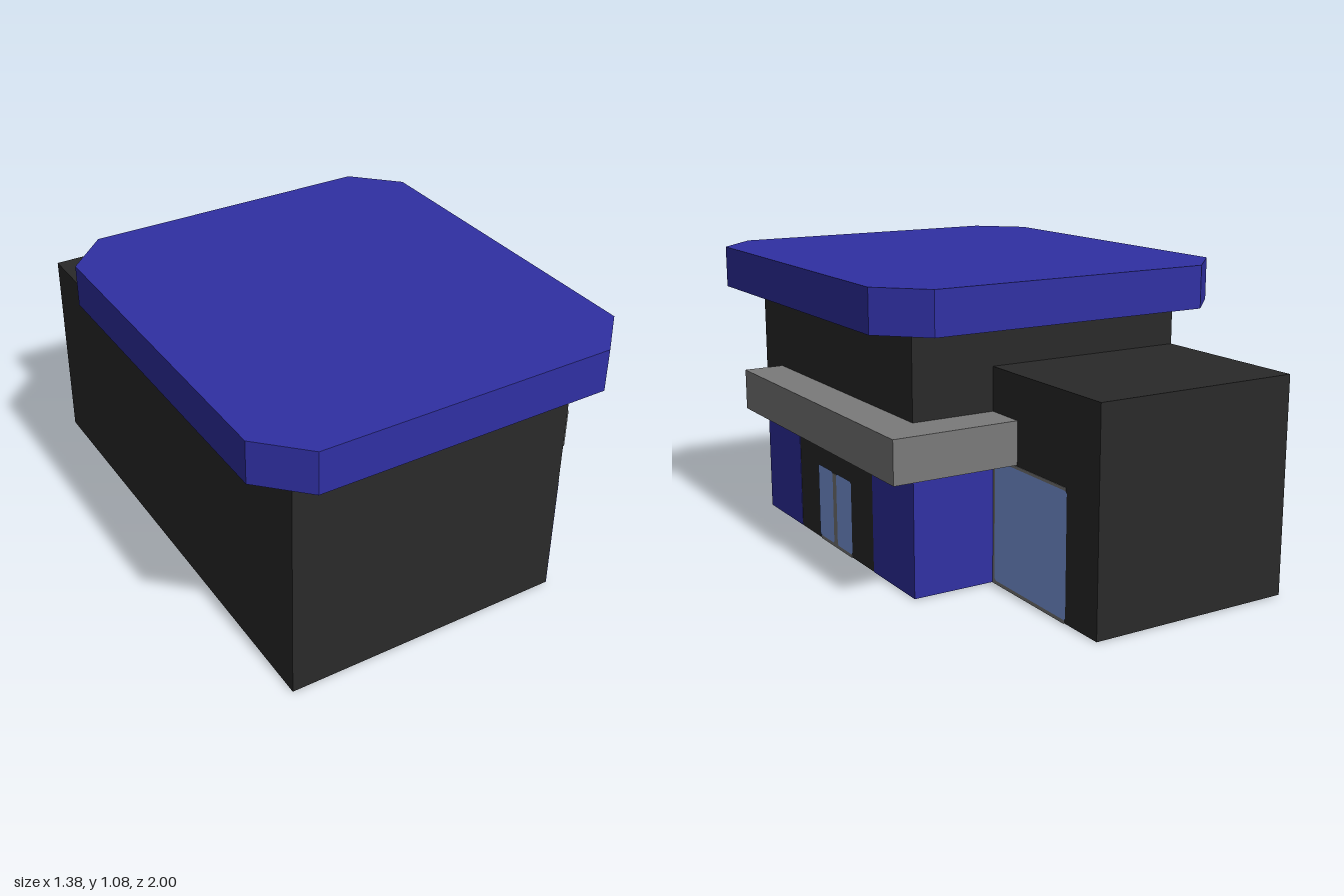
import * as THREE from 'three';

const material = (name, color) => {
  const m = new THREE.MeshStandardMaterial({ color });
  m.name = name;
  return m;
};

// Octagonal outline: a centred rectangle with cut corners
function cutCornerShape(width, height, cut) {
  const w = width / 2, h = height / 2;
  return new THREE.Shape([
    [-w + cut, -h], [w - cut, -h], [w, -h + cut], [w, h - cut],
    [w - cut, h], [-w + cut, h], [-w, h - cut], [-w, -h + cut],
  ].map(([x, y]) => new THREE.Vector2(x, y)));
}

export function createModel() {
  const model = new THREE.Group();
  model.name = 'shop';
  const charcoal = material('charcoal', 0x292929);
  charcoal.side = THREE.DoubleSide;
  const navy = material('navy', 0x3030a3);
  const grey = material('grey', 0x7a7a7a);
  const glass = material('glass blue', 0x7d9ce4);

  const add = (name, geometry, mat) => {
    const mesh = new THREE.Mesh(geometry, mat);
    mesh.name = name;
    model.add(mesh);
    return mesh;
  };
  // Upright sheet between two [x, z] points, facing right of the travel direction
  const wall = (name, [xa, za], [xb, zb], y0, y1) => {
    const length = Math.hypot(xb - xa, zb - za);
    const mesh = add(name, new THREE.PlaneGeometry(length, y1 - y0), charcoal);
    mesh.rotation.y = Math.atan2(za - zb, xb - xa);
    mesh.position.set((xa + xb) / 2, (y0 + y1) / 2, (za + zb) / 2);
  };
  // Box given by its limits on each axis
  const box = (name, mat, [x0, x1], [y0, y1], [z0, z1]) =>
    add(name, new THREE.BoxGeometry(x1 - x0, y1 - y0, z1 - z0), mat)
      .position.set((x0 + x1) / 2, (y0 + y1) / 2, (z0 + z1) / 2);
  // Flat glass facing +x with slightly clipped corners
  const pane = (name, x, [y0, y1], [z0, z1]) => {
    const mesh = add(name, new THREE.ShapeGeometry(cutCornerShape(z1 - z0, y1 - y0, 0.007)), glass);
    mesh.rotation.y = Math.PI / 2;
    mesh.position.set(x, (y0 + y1) / 2, (z0 + z1) / 2);
  };
  // Solid standing on y0, from an outline in x and -z
  const slab = (name, mat, shape, y0, depth, z = 0) => {
    const mesh = add(name, new THREE.ExtrudeGeometry(shape, { depth, bevelEnabled: false }), mat);
    mesh.rotation.x = -Math.PI / 2;
    mesh.position.set(0, y0, z);
  };

  const side = 0.538, annexSide = 0.228, front = 0.847, back = -0.383;
  const base = 0.002, eaves = 0.926, annexTop = 0.773, skin = 0.0015;

  // Hollow shell, open underneath: main hall and lower rear annex as one room
  wall('frontWall', [-side, front], [side, front], base, eaves);
  wall('hallLeftWall', [side, front], [side, back], base, eaves);
  wall('hallRearWall', [side, back], [annexSide, back], base, eaves);
  wall('hallUpperRearWall', [annexSide, back], [-side, back], annexTop, eaves);
  wall('hallRightWall', [-side, back], [-side, front], base, eaves);
  wall('annexLeftWall', [annexSide, back], [annexSide, -1], base, annexTop);
  wall('annexRearWall', [annexSide, -1], [-side, -1], base, annexTop);
  wall('annexRightWall', [-side, -1], [-side, back], base, annexTop);
  const annexRoof = add('annexRoof', new THREE.PlaneGeometry(annexSide + side, 1 + back), charcoal);
  annexRoof.rotation.x = -Math.PI / 2;
  annexRoof.position.set((annexSide - side) / 2, annexTop, (back - 1) / 2);

  // Overhanging roof slab with cut corners
  slab('roof', navy, cutCornerShape(1.384, 1.538, 0.154), 0.925, 0.154, 0.231);

  // Canopy along the side, turning the rear corner to the annex
  const canopyShape = new THREE.Shape([
    [side, -0.693], [0.692, -0.693], [0.692, 0.537],
    [annexSide, 0.537], [annexSide, -back], [side, -back],
  ].map(([x, y]) => new THREE.Vector2(x, y)));
  slab('canopy', grey, canopyShape, 0.464, 0.153);

  // Painted wall panels below the canopy
  const panelY = [base, 0.464];
  box('frontSidePanel', navy, [side, side + skin], panelY, [0.54, front]);
  box('rearSidePanel', navy, [side, side + skin], panelY, [back, -0.079]);
  box('rearPanel', navy, [annexSide, side + skin], panelY, [back - skin, back]);

  // Double entrance door
  box('doorFrame', grey, [side, side + skin], [0, 0.288], [0.1, 0.362]);
  pane('doorPaneRear', side + 2 * skin, [0.014, 0.294], [0.091, 0.216]);
  pane('doorPaneFront', side + 2 * skin, [0.014, 0.294], [0.246, 0.37]);

  // Large annex window
  box('annexWindowFrame', grey, [annexSide, annexSide + skin], [0, 0.46], [-0.822, back]);
  pane('annexWindow', annexSide + 2 * skin, [0.014, 0.45], [-0.831, -0.4]);

  return model;
}
